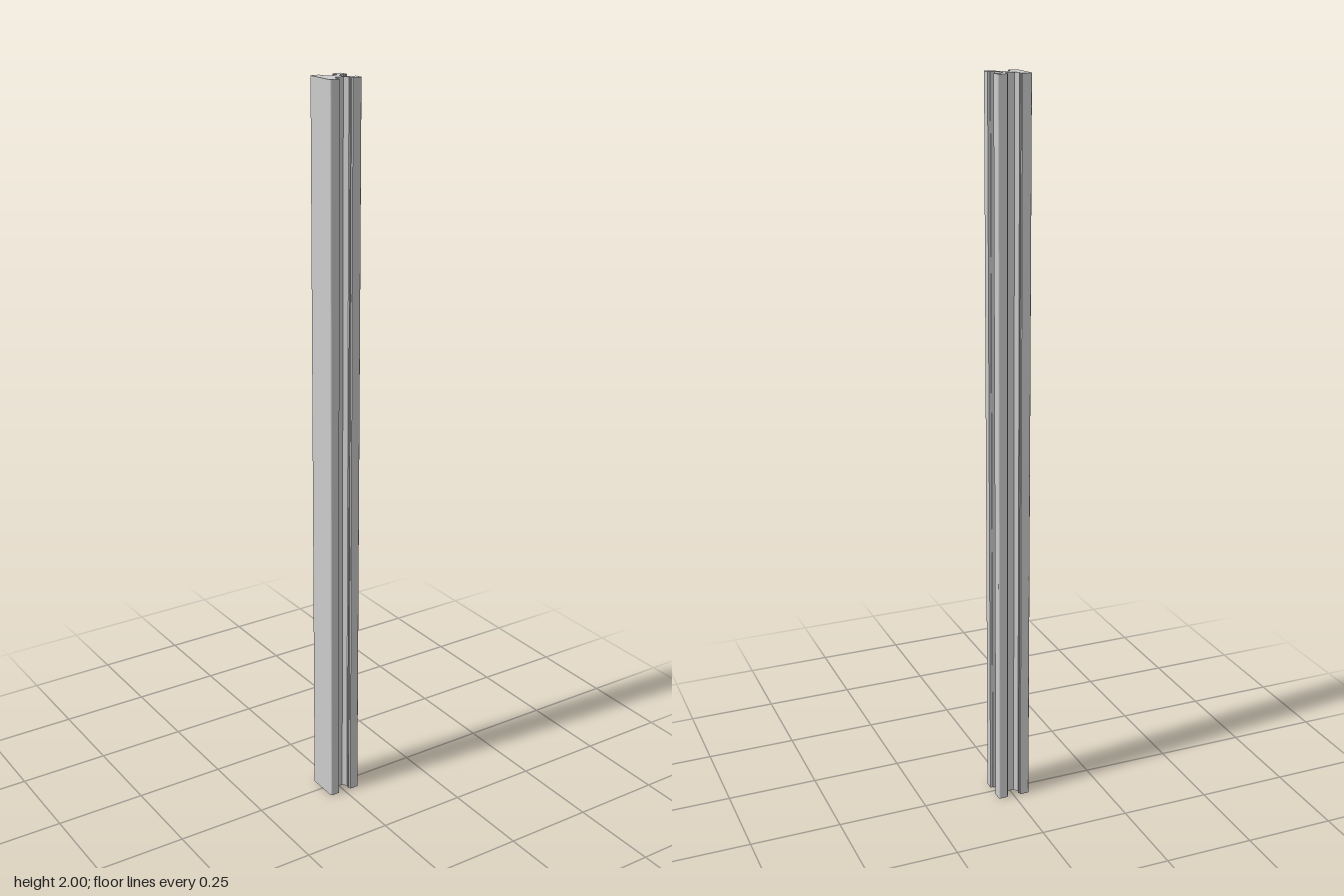
import * as THREE from 'three';

const HALF = 0.0457;   // half width of the square section
const RADIUS = 0.004;  // outer corner rounding
const LENGTH = 2;

// Half of one slot: [offset along the side, distance from the centre]
const SLOT = [
  [-0.0195, HALF], [-0.0195, 0.039], [-0.0165, 0.039], [-0.0165, 0.035],
  [-0.0195, 0.035], [-0.0195, 0.0275], [-0.011, 0.016],
];

function profileShape() {
  const shape = new THREE.Shape();
  const fullSlot = [...SLOT, ...SLOT.map(([t, d]) => [-t, d]).reverse()];
  const c = HALF - RADIUS;
  // Go round the four sides counter-clockwise; the last side (-x) is plain
  for (let side = 0; side < 4; side++) {
    const a = (side - 1) * Math.PI / 2;
    const cos = Math.cos(a), sin = Math.sin(a);
    if (side < 3) {
      fullSlot.forEach(([t, d], i) => {
        const x = d * cos - t * sin, y = d * sin + t * cos;
        if (side === 0 && i === 0) shape.moveTo(x, y);
        else shape.lineTo(x, y);
      });
    }
    // Rounded corner at the end of this side
    shape.absarc(c * (cos - sin), c * (sin + cos), RADIUS, a, a + Math.PI / 2, false);
  }
  shape.closePath();
  return shape;
}

export function createModel() {
  const group = new THREE.Group();
  group.name = 'slottedRail';

  // Section extruded, then stood upright
  const geometry = new THREE.ExtrudeGeometry(profileShape(), {
    depth: LENGTH, bevelEnabled: false, curveSegments: 5,
  });
  geometry.rotateX(-Math.PI / 2);

  const rail = new THREE.Mesh(geometry, new THREE.MeshStandardMaterial({ color: 0xcccccc }));
  rail.name = 'railProfile';
  group.add(rail);
  return group;
}
